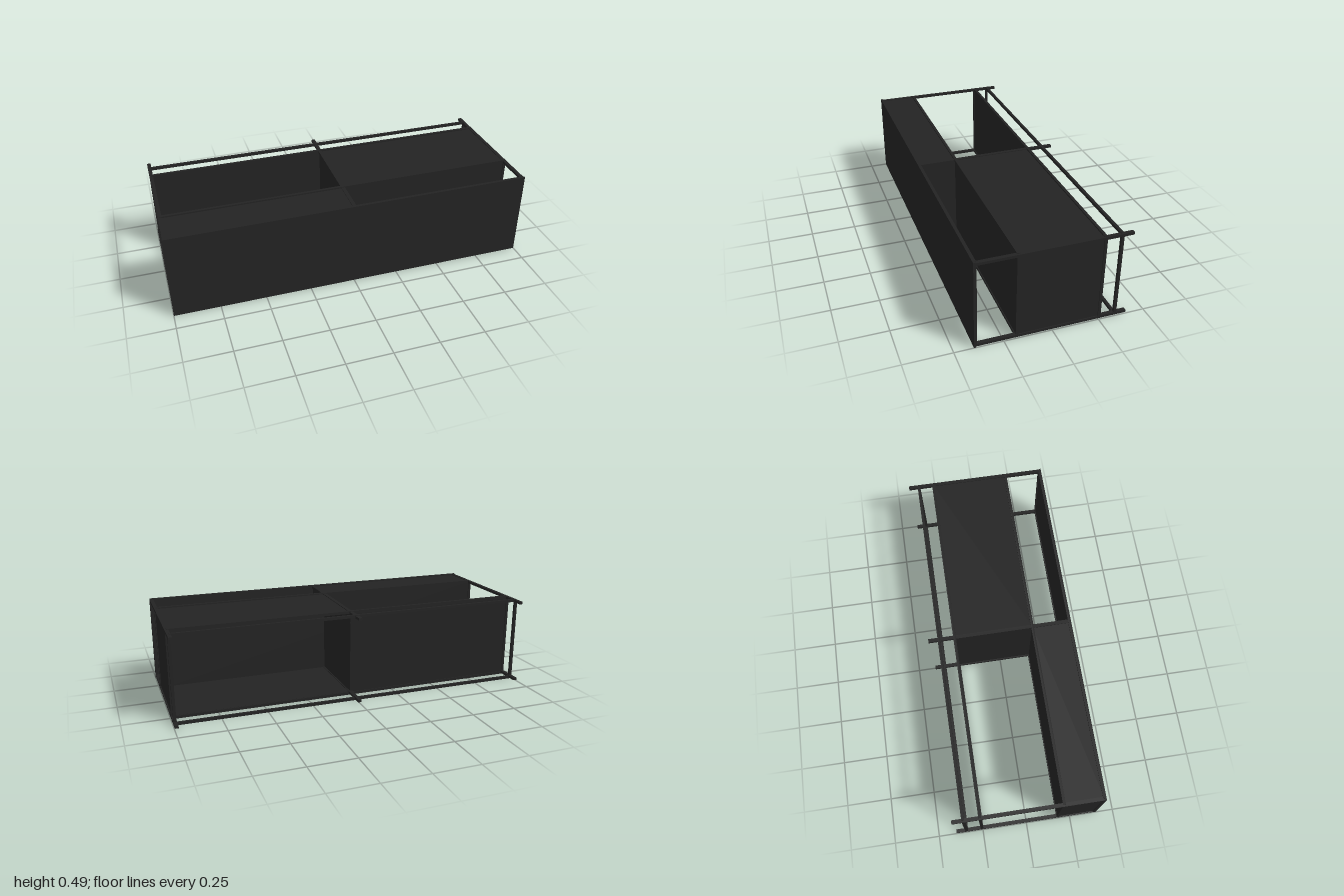
import * as THREE from 'three';

export function createModel() {
  const model = new THREE.Group();
  model.name = 'lowCabinet';
  const black = new THREE.MeshStandardMaterial({ color: 0x232323 });
  black.name = 'matteBlack';

  // Box given by its min and max on each axis
  const box = (name, [x0, x1], [y0, y1], [z0, z1]) => {
    const mesh = new THREE.Mesh(new THREE.BoxGeometry(x1 - x0, y1 - y0, z1 - z0), black);
    mesh.name = name;
    mesh.position.set((x0 + x1) / 2, (y0 + y1) / 2, (z0 + z1) / 2);
    model.add(mesh);
  };
  const around = (c, t) => [c - t / 2, c + t / 2];

  const H = 0.487, bar = 0.015, sheet = 0.006;
  const front = 0.391, middle = 0.182, back = -0.254, rear = -0.341;
  const levels = { bottom: 0.013, top: 0.476 };
  const full = [-0.99, 0.99], inner = [0.006, H - 0.006];

  for (const [level, y] of Object.entries(levels)) {
    // Rails running front to back, reaching past the rear
    for (const x of [-0.989, 0, 0.989]) {
      box(level + 'CrossRail', around(x, 0.02), around(y, 0.014), [-0.4, 0.39]);
    }
    // Rails running along the length
    const railY = level === 'top' ? [H - bar, H] : [0, bar];
    for (const z of [front, middle, back, rear]) {
      box(level + 'LongRail', full, railY, around(z, bar));
    }
    // Each half is closed over a different depth
    box(level + 'FrontPanel', [-0.99, 0], around(y, sheet), [middle, front]);
    box(level + 'BackPanel', [0, 0.99], around(y, sheet), [back, middle]);
  }

  // Corner posts
  for (const x of [-0.99, 0.99]) {
    for (const z of [front, middle, back, rear]) {
      box('post', around(x, bar), inner, around(z, bar));
    }
  }

  // Upright panels
  box('frontPanel', [-1, 1], [0, H], [0.39, 0.4]);
  box('innerWall', full, inner, around(middle, sheet));
  box('backPanel', [-0.99, 0], inner, around(back, sheet));
  box('divider', around(0, sheet), inner, [back, front]);
  box('rightEndPanel', around(-0.99, sheet), inner, [middle, front]);
  box('leftEndPanel', around(0.99, sheet), inner, [back, middle]);

  return model;
}
